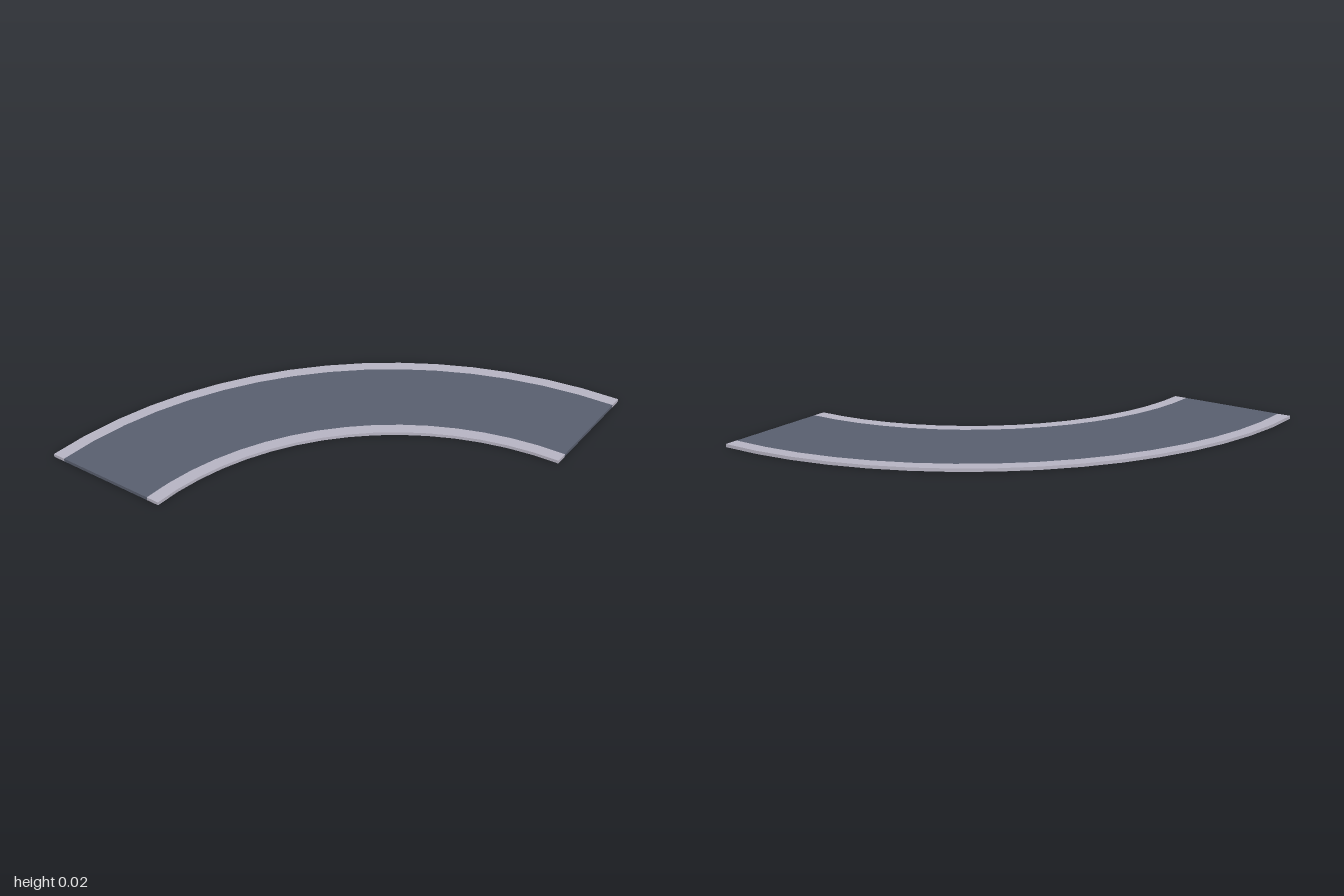
import * as THREE from 'three';
import { toCreasedNormals } from 'three/addons/utils/BufferGeometryUtils.js';

const HEIGHT = 0.016;
const SEGMENTS = 16;
// Radii from the bend's centre at x = 1, z = 1
const INNER = 1.335, ROAD_INNER = 1.402, ROAD_OUTER = 1.932, OUTER = 2;

export function createModel() {
  const group = new THREE.Group();
  group.name = 'roadBend';

  const asphalt = new THREE.MeshStandardMaterial({ color: 0x5a6070 });
  asphalt.name = 'asphalt';
  const concrete = new THREE.MeshStandardMaterial({ color: 0xb9b6c5 });
  concrete.name = 'concrete';

  function add(name, geometry, material) {
    const mesh = new THREE.Mesh(geometry, material);
    mesh.name = name;
    group.add(mesh);
    return mesh;
  }

  // Sweep a [radius, height] profile through the quarter turn
  function sweep(name, profile, material) {
    const points = profile.map(([r, y]) => new THREE.Vector2(r, y));
    const lathe = new THREE.LatheGeometry(points, SEGMENTS, Math.PI, Math.PI / 2);
    add(name, toCreasedNormals(lathe, 0.5), material).position.set(1, 0, 1);
  }

  // Flat end faces, one at the front and one at the left of the bend
  function endFaces(name, r0, r1, material) {
    const middle = 1 - (r0 + r1) / 2;
    const front = add(name + 'FrontEnd', new THREE.PlaneGeometry(r1 - r0, HEIGHT), material);
    front.position.set(middle, HEIGHT / 2, 1);
    const left = add(name + 'LeftEnd', new THREE.PlaneGeometry(r1 - r0, HEIGHT), material);
    left.rotation.y = Math.PI / 2;
    left.position.set(1, HEIGHT / 2, middle);
  }

  // Both kerbs, their walls and the underside
  sweep('kerbsAndBase', [
    [ROAD_INNER, HEIGHT], [INNER, HEIGHT], [INNER, 0],
    [OUTER, 0], [OUTER, HEIGHT], [ROAD_OUTER, HEIGHT],
  ], concrete);
  endFaces('innerKerb', INNER, ROAD_INNER, concrete);
  endFaces('outerKerb', ROAD_OUTER, OUTER, concrete);

  // Road surface between the kerbs
  sweep('roadSurface', [[ROAD_OUTER, HEIGHT], [ROAD_INNER, HEIGHT]], asphalt);
  endFaces('road', ROAD_INNER, ROAD_OUTER, asphalt);

  return group;
}
